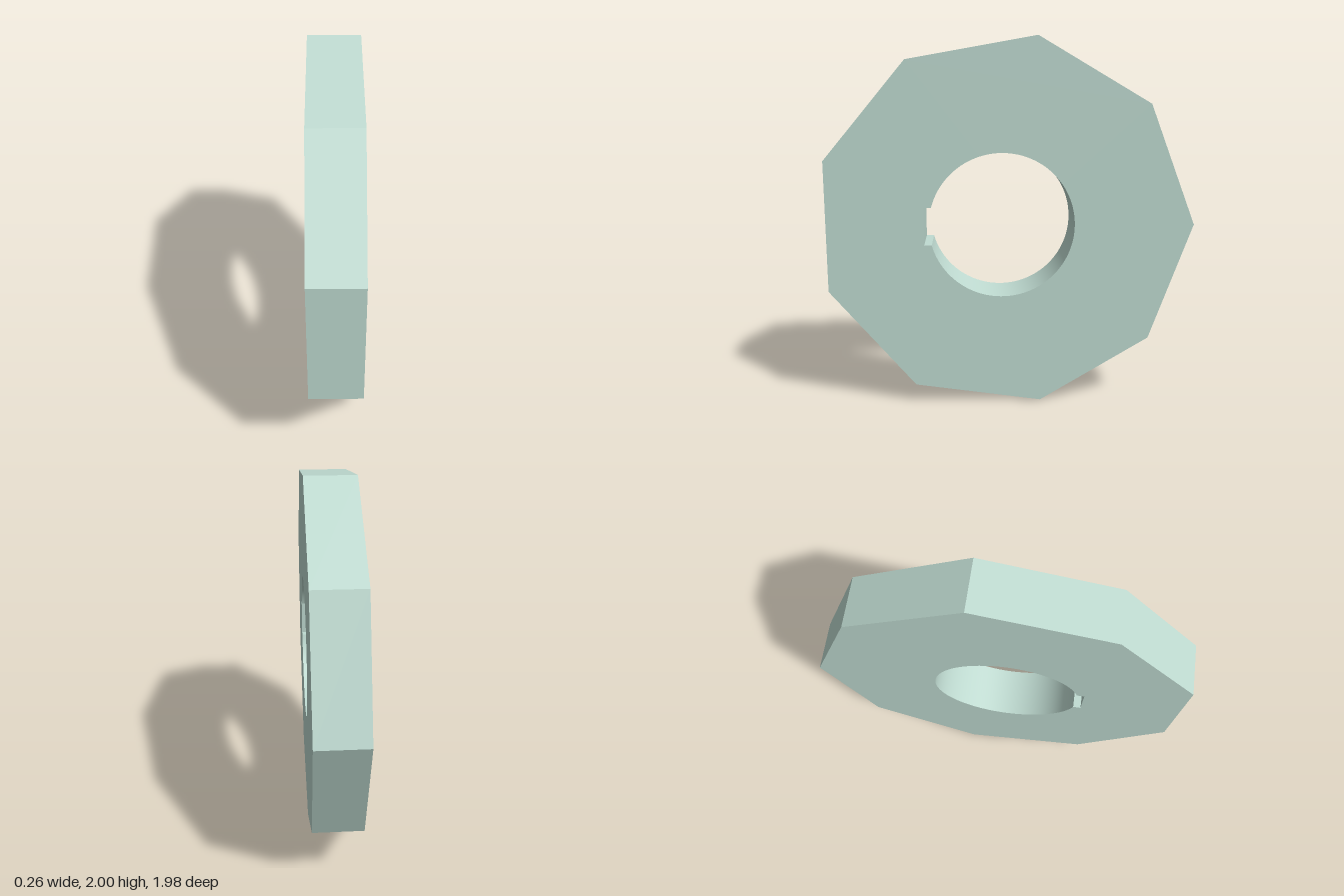
import * as THREE from 'three';
import { toCreasedNormals } from 'three/addons/utils/BufferGeometryUtils.js';

const THICKNESS = 0.265;

export function createModel() {
  const group = new THREE.Group();
  group.name = 'keyedWasher';

  // Nine-sided outline as (z, y) corners
  const corners = [
    [0.99, 0.65], [0.99, 1.357], [0.552, 1.877], [-0.135, 2], [-0.737, 1.65],
    [-0.99, 1], [-0.758, 0.358], [-0.158, 0.003], [0.532, 0.108],
  ];
  const shape = new THREE.Shape(corners.map(([z, y]) => new THREE.Vector2(-z, y)));

  // Round bore with a rectangular keyway towards the front
  const boreX = -0.053, boreY = 1.003, radius = 0.392;
  const keyX = -0.472, keyHalf = 0.103;
  const a = Math.asin(keyHalf / radius);
  const bore = new THREE.Path();
  bore.absarc(boreX, boreY, radius, -Math.PI + a, Math.PI - a, false);
  bore.lineTo(keyX, boreY + keyHalf);
  bore.lineTo(keyX, boreY - keyHalf);
  bore.closePath();
  shape.holes.push(bore);

  // Extrude across x, with a smooth bore and sharp edges
  const geometry = new THREE.ExtrudeGeometry(shape, {
    depth: THICKNESS, bevelEnabled: false, curveSegments: 72,
  });
  geometry.translate(0, 0, -THICKNESS / 2);
  geometry.rotateY(Math.PI / 2);

  const plate = new THREE.Mesh(
    toCreasedNormals(geometry, 0.4),
    new THREE.MeshStandardMaterial({ color: 0xc0dcd2 }),
  );
  plate.name = 'plateWithKeyway';
  group.add(plate);
  return group;
}
